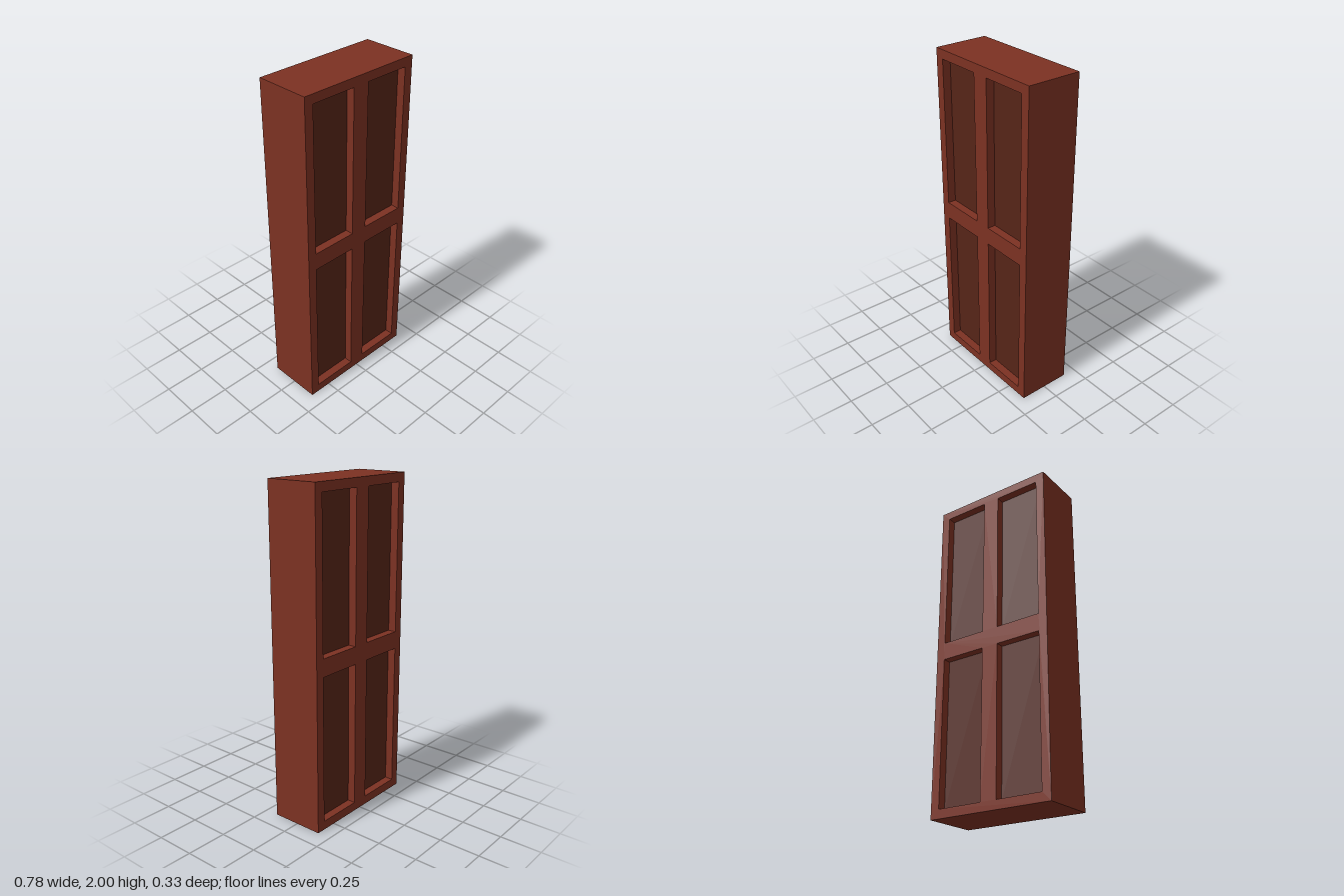
import * as THREE from 'three';

const W = 0.78, H = 2, D = 0.332;   // overall size
const RECESS = 0.05;                // panel depth below the frame faces
const PW = 0.283, PH = 0.893;       // panel opening
const PX = 0.194, PY = 0.5;         // panel centre offsets from the middle

function rect(path, cx, cy, w, h) {
  path.moveTo(cx - w / 2, cy - h / 2);
  path.lineTo(cx + w / 2, cy - h / 2);
  path.lineTo(cx + w / 2, cy + h / 2);
  path.lineTo(cx - w / 2, cy + h / 2);
  path.closePath();
  return path;
}

export function createModel() {
  const group = new THREE.Group();
  group.name = 'panelledDoor';
  const frameMat = new THREE.MeshStandardMaterial({ color: 0x7c3122 });
  const panelMat = new THREE.MeshStandardMaterial({ color: 0x562418 });

  // Frame with four openings, each closed by a panel recessed on both faces
  const shape = rect(new THREE.Shape(), 0, H / 2, W, H);
  for (const sx of [-1, 1]) {
    for (const sy of [-1, 1]) {
      const x = sx * PX, y = H / 2 + sy * PY;
      shape.holes.push(rect(new THREE.Path(), x, y, PW, PH));

      const panel = new THREE.Mesh(new THREE.BoxGeometry(PW, PH, D - 2 * RECESS), panelMat);
      panel.name = (sy > 0 ? 'upper' : 'lower') + (sx > 0 ? 'Left' : 'Right') + 'Panel';
      panel.position.set(x, y, 0);
      group.add(panel);
    }
  }

  const frameGeo = new THREE.ExtrudeGeometry(shape, { depth: D, bevelEnabled: false });
  frameGeo.translate(0, 0, -D / 2);
  const frame = new THREE.Mesh(frameGeo, frameMat);
  frame.name = 'frame';
  group.add(frame);

  return group;
}
